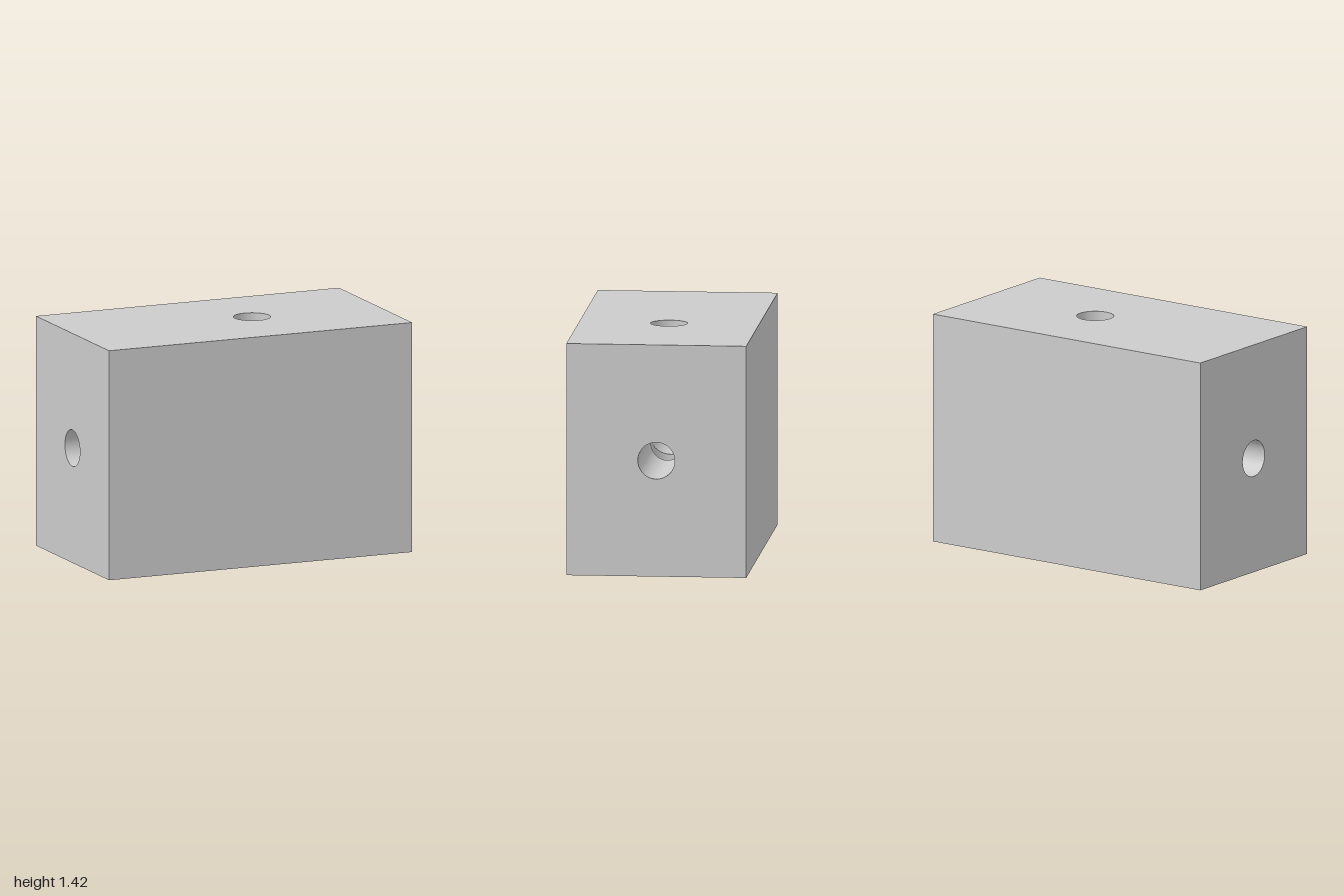
import * as THREE from 'three';

const W = 2, H = 1.416, D = 1.09;   // block size
const R = 0.112;                    // radius of both bores
const CX = 0.185, CY = H / 2;       // where the two bores cross
const SEG = 64;

const material = new THREE.MeshStandardMaterial({ color: 0xcccccc });

// Rectangular face in the XY plane, optionally pierced at (holeX, 0)
function faceGeometry(w, h, holeX) {
  const shape = new THREE.Shape([
    new THREE.Vector2(-w / 2, -h / 2), new THREE.Vector2(w / 2, -h / 2),
    new THREE.Vector2(w / 2, h / 2), new THREE.Vector2(-w / 2, h / 2),
  ]);
  if (holeX !== null) {
    shape.holes.push(new THREE.Path().absarc(holeX, 0, R, 0, Math.PI * 2, true));
  }
  return new THREE.ShapeGeometry(shape, SEG);
}

// Inward-facing bore wall along +y, mitred at its base where the bores cross
function boreGeometry(length) {
  const positions = [], normals = [], index = [];
  for (let i = 0; i <= SEG; i++) {
    const a = (i / SEG) * Math.PI * 2;
    const c = Math.cos(a), s = Math.sin(a);
    positions.push(R * c, R * Math.abs(c), R * s, R * c, length, R * s);
    normals.push(-c, 0, -s, -c, 0, -s);
    if (i < SEG) {
      const k = i * 2;
      index.push(k, k + 2, k + 1, k + 2, k + 3, k + 1);
    }
  }
  const geometry = new THREE.BufferGeometry();
  geometry.setAttribute('position', new THREE.Float32BufferAttribute(positions, 3));
  geometry.setAttribute('normal', new THREE.Float32BufferAttribute(normals, 3));
  geometry.setIndex(index);
  return geometry;
}

export function createModel() {
  const model = new THREE.Group();
  model.name = 'drilledBlock';

  const add = (name, geometry, position, rotation) => {
    const mesh = new THREE.Mesh(geometry, material);
    mesh.name = name;
    mesh.position.set(...position);
    mesh.rotation.set(...rotation);
    model.add(mesh);
  };
  const q = Math.PI / 2;

  // Outer faces
  add('frontFace', faceGeometry(W, H, null), [0, CY, D / 2], [0, 0, 0]);
  add('backFace', faceGeometry(W, H, null), [0, CY, -D / 2], [0, Math.PI, 0]);
  add('topFace', faceGeometry(W, D, CX), [0, H, 0], [-q, 0, 0]);
  add('bottomFace', faceGeometry(W, D, CX), [0, 0, 0], [q, 0, 0]);
  add('leftFace', faceGeometry(D, H, 0), [W / 2, CY, 0], [0, q, 0]);
  add('rightFace', faceGeometry(D, H, 0), [-W / 2, CY, 0], [0, -q, 0]);

  // Four bore arms meeting at the crossing
  const arms = [
    ['topBore', H - CY], ['rightBore', W / 2 + CX],
    ['bottomBore', CY], ['leftBore', W / 2 - CX],
  ];
  arms.forEach(([name, length], i) => {
    add(name, boreGeometry(length), [CX, CY, 0], [0, 0, i * q]);
  });

  return model;
}
